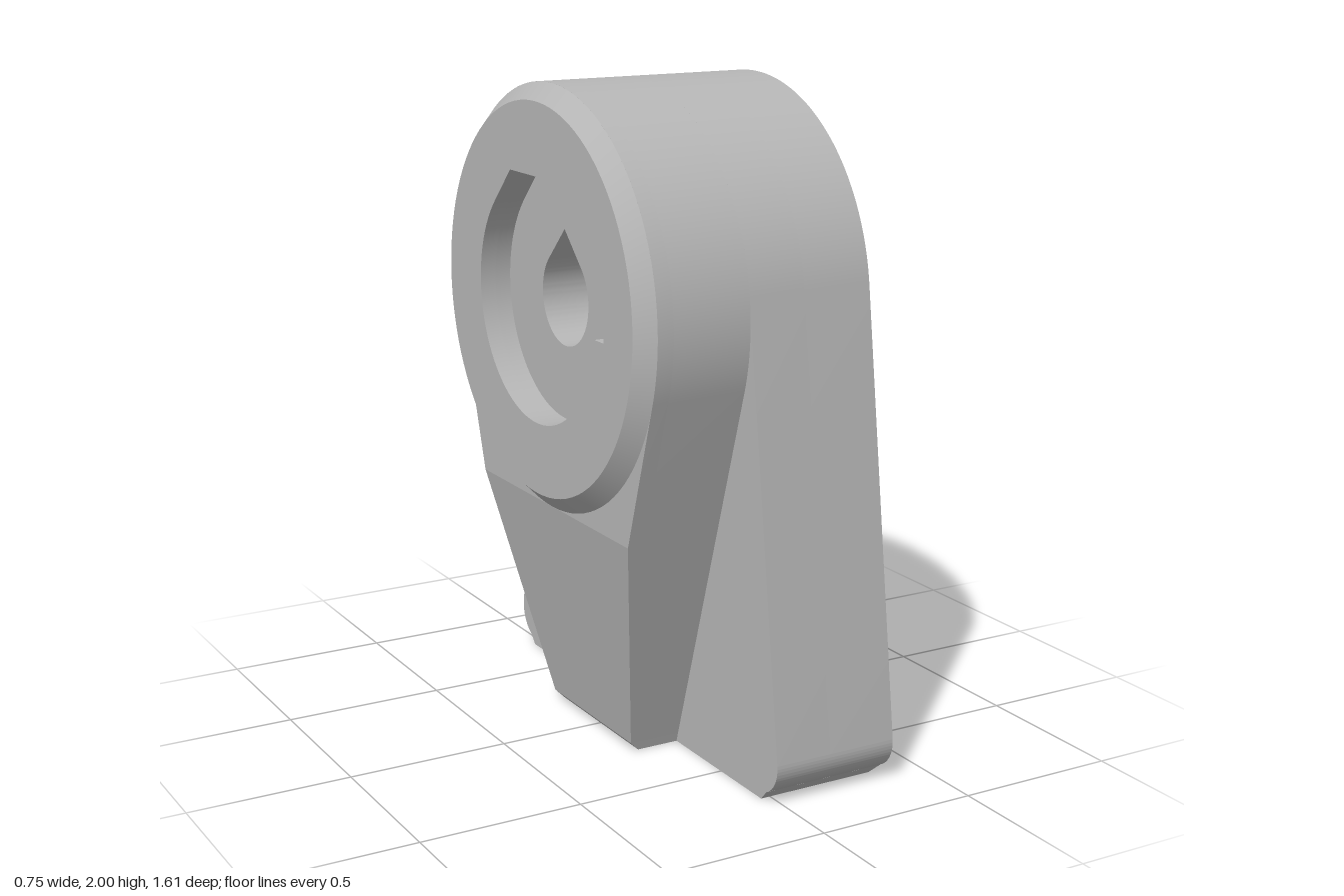
import * as THREE from 'three';
import { toCreasedNormals } from 'three/addons/utils/BufferGeometryUtils.js';

const CY = 1.365; // height of the bore axis
const R = 0.635;  // radius of the rounded head
const rad = THREE.MathUtils.degToRad;

export function createModel() {
  const group = new THREE.Group();
  const grey = new THREE.MeshStandardMaterial({ color: 0xb6b6b6 });
  grey.name = 'plain grey';

  const add = (name, geometry) => {
    const mesh = new THREE.Mesh(geometry, grey);
    mesh.name = name;
    group.add(mesh);
    return mesh;
  };

  // Side outline (u = -z, v = y) extruded along x from x0 to x1
  const slab = (outline, hole, x0, x1) => {
    const shape = outline.clone();
    shape.holes = [hole];
    const g = new THREE.ExtrudeGeometry(shape, { depth: x1 - x0, bevelEnabled: false, curveSegments: 48 });
    return g.rotateY(Math.PI / 2).translate(x0, 0, 0);
  };
  const creased = (g) => toCreasedNormals(g, 0.4);

  // Side walls through rectangular sections [y, halfDepth, xMin, xMax], bottom to top
  const loft = (sections, bottomCap) => {
    const rings = sections.map(([y, d, a, b]) => [[a, y, -d], [a, y, d], [b, y, d], [b, y, -d]]);
    const pos = [];
    for (let s = 0; s + 1 < rings.length; s++) {
      for (let i = 0; i < 4; i++) {
        const j = (i + 1) % 4, lo = rings[s], hi = rings[s + 1];
        pos.push(...lo[i], ...lo[j], ...hi[j], ...lo[i], ...hi[j], ...hi[i]);
      }
    }
    if (bottomCap) for (const i of [0, 3, 2, 0, 2, 1]) pos.push(...rings[0][i]);
    const g = new THREE.BufferGeometry();
    g.setAttribute('position', new THREE.Float32BufferAttribute(pos, 3));
    g.computeVertexNormals();
    return g;
  };

  // Teardrop bore
  const bore = new THREE.Path();
  bore.absarc(0, CY, 0.145, rad(135), rad(405));
  bore.lineTo(0, CY + 0.145 * Math.SQRT2);
  bore.closePath();

  // Keyhole pocket: larger teardrop with a tapering slot below
  const keyhole = new THREE.Path();
  keyhole.absarc(0, CY, 0.225, rad(135), rad(214.6));
  keyhole.absarc(0, 0.53, 0.135, rad(183), rad(357));
  keyhole.absarc(0, CY, 0.225, rad(-34.6), rad(45));
  keyhole.lineTo(0, CY + 0.225 * Math.SQRT2);
  keyhole.closePath();

  // Round recess with flattened peak and one key notch
  const rr = 0.368, notch = Math.asin(0.045 / rr);
  const recess = new THREE.Path();
  recess.absarc(0, CY, rr, rad(135), Math.PI - notch);
  recess.lineTo(-0.42, CY + 0.045);
  recess.lineTo(-0.42, CY - 0.045);
  recess.absarc(0, CY, rr, Math.PI + notch, rad(405));
  recess.lineTo(rr * 0.414, CY + rr);
  recess.lineTo(-rr * 0.414, CY + rr);
  recess.closePath();

  // Main plate: round head, flared sides, rounded lower corners
  const plate = new THREE.Shape();
  const cornerEnd = Math.asin(0.9);
  plate.absarc(0, CY, R, rad(7.5), rad(172.5));
  plate.absarc(-0.705, 0.12, 0.1, rad(172.5), Math.PI + cornerEnd);
  plate.absarc(0.705, 0.12, 0.1, -cornerEnd, rad(7.5));
  plate.closePath();

  // Leaves the underside open so the foot with its screw holes can close it
  const openBelow = (geometry) => {
    const g = geometry.index ? geometry.toNonIndexed() : geometry;
    const p = g.attributes.position, kept = [];
    for (let i = 0; i < p.count; i += 3) {
      if (Math.max(p.getY(i), p.getY(i + 1), p.getY(i + 2)) < 0.0305) continue;
      for (let k = i; k < i + 3; k++) kept.push(p.getX(k), p.getY(k), p.getZ(k));
    }
    const out = new THREE.BufferGeometry();
    out.setAttribute('position', new THREE.Float32BufferAttribute(kept, 3));
    return out;
  };
  add('plateRear', creased(openBelow(slab(plate, bore, -0.03, 0.15))));
  add('plateWithKeyhole', creased(openBelow(slab(plate, keyhole, 0.15, 0.37))));

  // Chamfered foot and underside
  add('footChamfer', loft([[0, 0.722, -0.03, 0.345], [0.03, 0.749, -0.03, 0.37]], false));
  const under = new THREE.Shape();
  under.moveTo(-0.03, -0.722);
  under.lineTo(0.345, -0.722);
  under.lineTo(0.345, 0.722);
  under.lineTo(-0.03, 0.722);
  under.closePath();
  for (const z of [-0.46, 0.46]) {
    under.holes.push(new THREE.Path().absarc(0.17, z, 0.103, 0, Math.PI * 2));
    const wall = [[0, 0.35], [0.08, 0.35], [0.08, 0.023], [0.103, 0]].map(([x, y]) => new THREE.Vector2(x, y));
    add('screwHole', creased(new THREE.LatheGeometry(wall, 32))).position.set(0.17, 0, z);
  }
  add('footUnderside', new THREE.ShapeGeometry(under, 16).rotateX(Math.PI / 2));

  // Boss: cylinder running tangentially into the rib
  const boss = new THREE.Shape();
  boss.absarc(0, CY, R, rad(-17.3), rad(197.3));
  boss.lineTo(-0.467, 0.73);
  boss.lineTo(0.467, 0.73);
  boss.closePath();
  add('boss', creased(slab(boss, bore, -0.275, -0.03)));
  add('bossRecess', creased(slab(boss, recess, -0.325, -0.275)));

  // Chamfered rim of the boss
  const disc = new THREE.Shape();
  disc.absarc(0, CY, R, 0, Math.PI * 2);
  const rim = slab(disc, recess, -0.375, -0.325);
  const p = rim.attributes.position;
  for (let i = 0; i < p.count; i++) {
    const y = p.getY(i) - CY, z = p.getZ(i);
    if (p.getX(i) < -0.35 && Math.hypot(y, z) > 0.6) {
      p.setY(i, CY + y * 0.921);
      p.setZ(i, z * 0.921);
    }
  }
  add('bossRim', creased(rim));

  // Tapering support rib under the boss
  add('supportRib', loft([
    [0, 0.24, -0.165, -0.03],
    [0.03, 0.249, -0.195, -0.03],
    [0.73, 0.467, -0.325, -0.03],
  ], true));

  return group;
}
